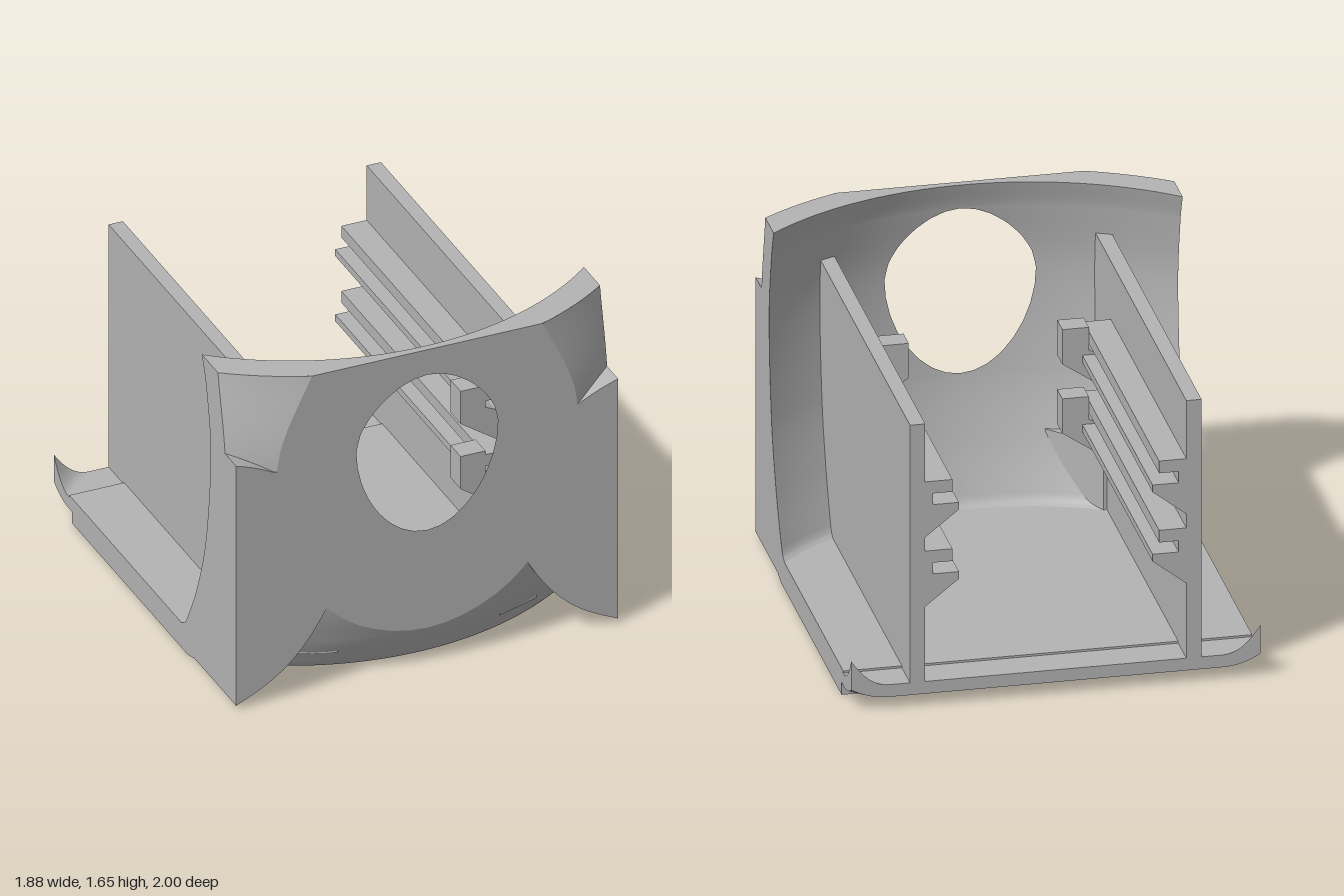
import * as THREE from 'three';

const W = 0.94, AXIS = -0.5; // half width, z of the bowl's vertical axis
const INNER = [[0.13, 1.3], [0.145, 1.322], [0.18, 1.342], [0.4, 1.424], [0.71, 1.5], [1.2, 1.54], [1.52, 1.5], [1.65, 1.465]];
const OUTER = [[0, 1.35], [0.02, 1.4], [0.08, 1.44], [0.2, 1.5], [0.42, 1.578], [0.71, 1.63], [1.2, 1.672], [1.65, 1.604]];

// Smooth radius at height y through the [y, r] knots
function radius(k, y) {
  let i = 0;
  while (i < k.length - 2 && y > k[i + 1][0]) i++;
  const slope = (j) => {
    const a = k[Math.max(j - 1, 0)], b = k[Math.min(j + 1, k.length - 1)];
    return (b[1] - a[1]) / (b[0] - a[0]);
  };
  const [y0, r0] = k[i], [y1, r1] = k[i + 1], h = y1 - y0;
  const t = THREE.MathUtils.clamp((y - y0) / h, 0, 1), t2 = t * t, t3 = t2 * t;
  return (2 * t3 - 3 * t2 + 1) * r0 + (t3 - 2 * t2 + t) * h * slope(i)
    + (3 * t2 - 2 * t3) * r1 + (t3 - t2) * h * slope(i + 1);
}
const depth = (k, x, y) => Math.min(1, Math.sqrt(radius(k, y) ** 2 - x * x) + AXIS);
// x at which the bowl meets the flat front plane
const crossing = (k, y) => Math.min(W, Math.sqrt(Math.max(0, radius(k, y) ** 2 - 2.25 - 1e-6)));

// Heights with rows gathered at the ends of each span
function rows(stops, n) {
  const out = [stops[0]];
  for (let i = 1; i < stops.length; i++)
    for (let j = 1; j <= n; j++)
      out.push(THREE.MathUtils.lerp(stops[i - 1], stops[i], 0.5 - 0.5 * Math.cos(Math.PI * j / n)));
  return out;
}

// Surface through rows of u values and n columns
function patch(us, n, point, flip) {
  const pos = [], idx = [];
  us.forEach((u, i) => {
    for (let j = 0; j <= n; j++) {
      pos.push(...point(u, j / n));
      if (i && j) {
        const d = i * (n + 1) + j, c = d - 1, b = d - n - 1, a = b - 1;
        if (flip) idx.push(a, c, b, b, c, d);
        else idx.push(a, b, c, b, d, c);
      }
    }
  });
  const g = new THREE.BufferGeometry();
  g.setAttribute('position', new THREE.Float32BufferAttribute(pos, 3));
  g.setIndex(idx);
  g.computeVertexNormals();
  return g;
}

function prism(points, d) {
  const shape = new THREE.Shape(points.map(([x, y]) => new THREE.Vector2(x, y)));
  return new THREE.ExtrudeGeometry(shape, { depth: d, bevelEnabled: false });
}

function bend(g, rule) {
  const p = g.attributes.position;
  for (let i = 0; i < p.count; i++) p.setXYZ(i, ...rule(p.getX(i), p.getY(i), p.getZ(i)));
  g.computeVertexNormals();
  return g;
}

export function createModel() {
  const model = new THREE.Group();
  const grey = new THREE.MeshStandardMaterial({ color: 0xb4b4b4, side: THREE.DoubleSide });
  grey.name = 'plain grey';
  const add = (name, g) => {
    const m = new THREE.Mesh(g, grey);
    m.name = name;
    model.add(m);
    return m;
  };
  const box = (name, x0, x1, y0, y1, z0, z1) =>
    add(name, new THREE.BoxGeometry(Math.abs(x1 - x0), y1 - y0, z1 - z0)
      .translate((x0 + x1) / 2, (y0 + y1) / 2, (z0 + z1) / 2));
  const lerp = THREE.MathUtils.lerp;

  const innerRows = rows([0.13, 0.18, 0.71, 1.52, 1.65], 16);
  const outerRows = rows([0, 0.02, 0.2, 0.71, 1.52, 1.65], 14);
  const flatRows = outerRows.filter((y) => y >= 0.1999);

  for (const s of [1, -1]) {
    const side = s > 0 ? 'left' : 'right', flip = s < 0;
    // Bowl-shaped front wall: the bowl breaks through the flat face as an oval hole
    add(side + 'BowlInside', patch(innerRows, 30, (y, t) => {
      const x = lerp(crossing(INNER, y), W, t);
      return [s * x, y, depth(INNER, x, y)];
    }, !flip));
    add(side + 'FrontFace', patch(flatRows, 6, (y, t) =>
      [s * lerp(crossing(INNER, y), crossing(OUTER, y), t), y, 1], flip).translate(0, 0, 0));
    add(side + 'BowlOutside', patch(outerRows, 24, (y, t) => {
      const x = lerp(crossing(OUTER, y), W, t);
      return [s * x, y, depth(OUTER, x, y)];
    }, flip));
    add(side + 'FrontWallEnd', patch(outerRows, 1, (y, t) => {
      const back = y < 0.13 ? 0.38 : depth(INNER, W, y);
      return [s * W, y, lerp(back, depth(OUTER, W, y), t)];
    }, !flip));
    add(side + 'FrontWallTop', patch([0, 1], 30, (u, t) => {
      const x = t * W;
      return [s * x, 1.65, lerp(depth(INNER, x, 1.65), depth(OUTER, x, 1.65), u)];
    }, flip));

    // Square front corner with arched upper and lower edges
    const corner = new THREE.BoxGeometry(1, 1, 1, 24, 24, 1);
    add(side + 'FrontCorner', bend(corner, (u, v, w) => {
      const x = lerp(0.48, W, u + 0.5);
      const q = (W - x) / 0.45;
      const low = 0.02 + 0.2 * q + 0.21 * q * q * q;
      const k = Math.min(1, (W - x) / 0.19);
      const high = 1.27 - 0.055 * k - 0.025 * k * k;
      const y = lerp(low, high, v + 0.5);
      return [s * x, y, w > 0 ? 1 : depth(OUTER, x, y) - 0.03];
    }));

    // Upright side wall, its front edge following the bowl
    const edge = [];
    for (let i = 0; i <= 24; i++) {
      const y = lerp(0.13, 1.385, i / 24);
      edge.push([depth(INNER, 0.6, y) + 0.01, y]);
    }
    add(side + 'SideWall', prism([[-1, 1.385], [-1, 0.11], [0.6, 0.11], ...edge], 0.07)
      .rotateY(-Math.PI / 2).translate(s > 0 ? 0.67 : -0.6, 0, 0));

    // Two slotted rails with end stops
    for (const top of [1.1, 0.76]) {
      const rail = [[0.61, 0], [0.475, 0], [0.475, -0.06], [0.565, -0.06], [0.565, -0.115],
        [0.445, -0.115], [0.445, -0.15], [0.61, -0.28]];
      add(side + 'Rail', prism(rail.map(([x, y]) => [s * x, top + y]), 1.58).translate(0, 0, -1));
      box(side + 'RailStop', s * 0.385, s * 0.475, top - 0.115, top + 0.02, 0.47, 0.58);
      const foot = [[0.353, -0.09], [0.47, -0.09], [0.6, -0.15], [0.6, -0.32], [0.353, -0.15]];
      box(side + 'StopTip', s * 0.353, s * 0.4, top - 0.115, top + 0.02, 0.47, 0.58);
      add(side + 'StopBrace', prism(foot.map(([x, y]) => [s * x, top + y]), 0.11).translate(0, 0, 0.47));
    }

    // Three-cornered brace between side wall and bowl
    const brace = [[0.61, -0.66], [0.585, -0.66], [0.365, -0.89], [0.4, -0.91], [0.61, -0.84]];
    add(side + 'CornerBrace', prism(brace.map(([x, y]) => [s * x, y]), 0.33)
      .rotateX(-Math.PI / 2).translate(0, 0.12, 0));
  }

  // Floor with a rounded front
  const arc = [];
  for (let i = 0; i <= 40; i++) {
    const x = lerp(-W, W, i / 40);
    arc.push([x, -(Math.sqrt(1.345 ** 2 - x * x) + AXIS)]);
  }
  add('floor', prism([...arc, [W, 0.8], [-W, 0.8]], 0.13).rotateX(-Math.PI / 2));
  box('floorBackEdge', -W, W, 0.07, 0.13, -0.83, -0.79);
  box('floorTongue', -0.33, 0.33, 0.02, 0.08, -0.82, -0.79);

  // Thin rear lip whose corners sweep upward
  const lip = new THREE.BoxGeometry(2 * W, 1, 0.2, 94, 1, 16).translate(0, 0, -0.9);
  add('rearLip', bend(lip, (x, y, z) => {
    const t = THREE.MathUtils.clamp((Math.hypot(x, z) - 1.26) / 0.112, 0, 1);
    return [x, y > 0 ? 0.12 + 0.13 * t * t : 0.06 + 0.05 * t * t, z];
  }));

  return model;
}
